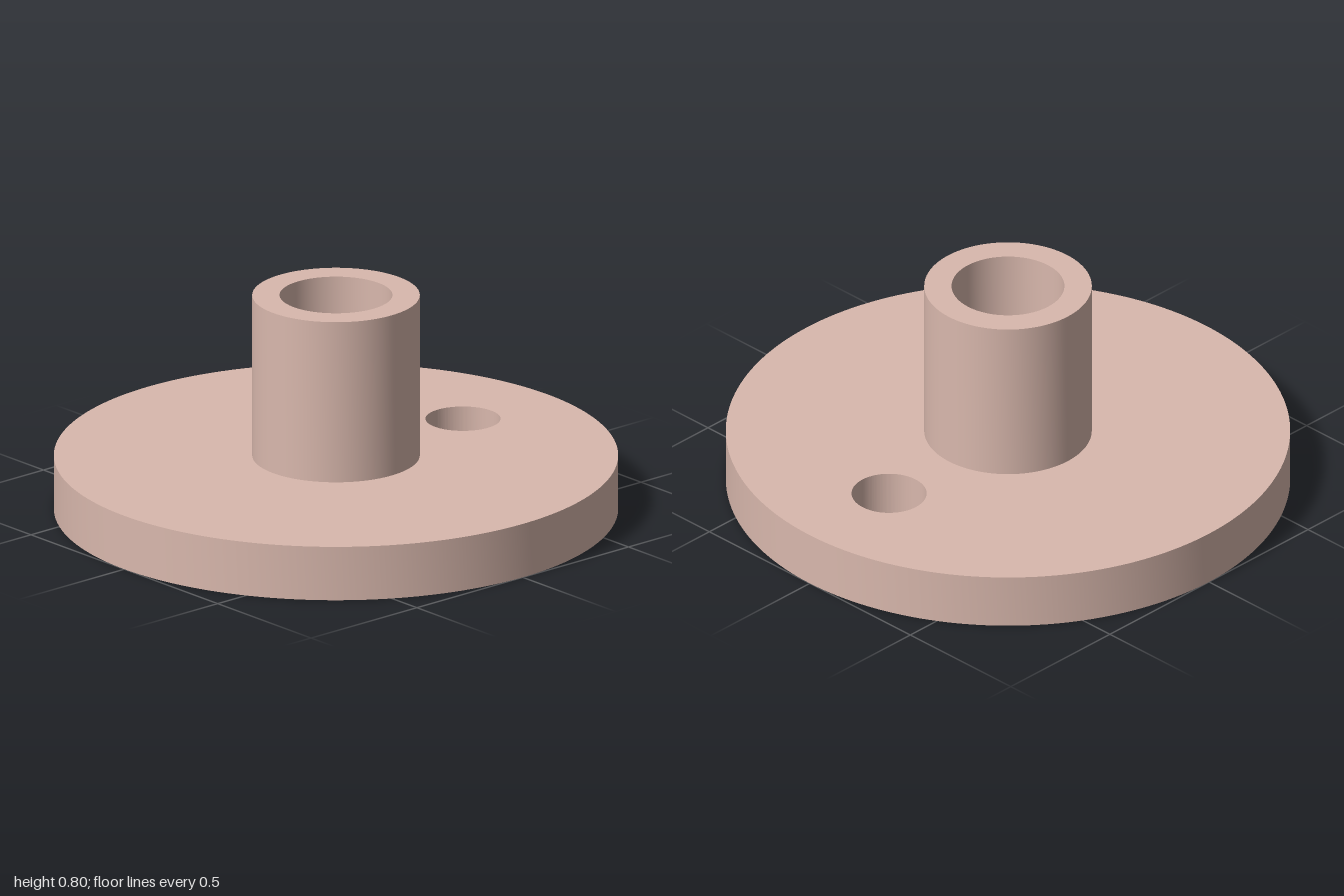
import * as THREE from 'three';
import { toCreasedNormals } from 'three/addons/utils/BufferGeometryUtils.js';

const SEGMENTS = 96;

export function createModel() {
  const model = new THREE.Group();
  model.name = 'flangedHub';
  const material = new THREE.MeshStandardMaterial({ color: 0xd9b8ad });

  const addPart = (name, geometry) => {
    const mesh = new THREE.Mesh(toCreasedNormals(geometry, Math.PI / 6), material);
    mesh.name = name;
    model.add(mesh);
  };

  // Round flange with one off-centre through hole
  const disc = new THREE.Shape().absarc(0, 0, 1, 0, Math.PI * 2);
  disc.holes.push(new THREE.Path().absarc(0.6, 0, 0.133, 0, Math.PI * 2, true));
  const flange = new THREE.ExtrudeGeometry(disc, {
    depth: 0.2, bevelEnabled: false, curveSegments: SEGMENTS,
  });
  flange.rotateX(-Math.PI / 2);
  addPart('flange', flange);

  // Hollow hub: outer wall, rim and bore, closed below by the flange
  const profile = [[0.297, 0.2], [0.297, 0.8], [0.2, 0.8], [0.2, 0.2]];
  addPart('hub', new THREE.LatheGeometry(
    profile.map(([r, y]) => new THREE.Vector2(r, y)), SEGMENTS));

  return model;
}
